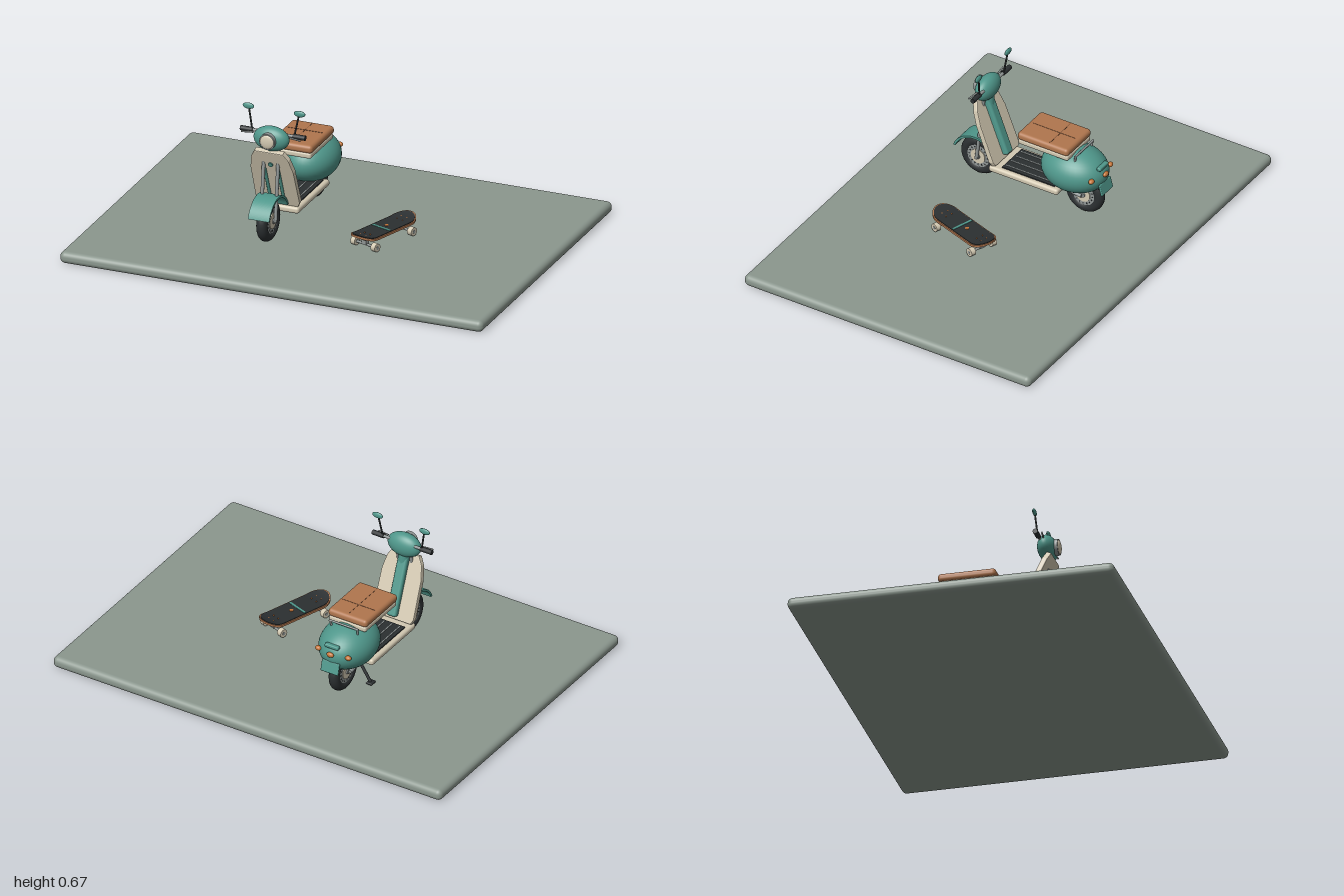
import * as THREE from 'three';
import { RoundedBoxGeometry } from 'three/addons/geometries/RoundedBoxGeometry.js';

const mat = (name, color) => new THREE.MeshStandardMaterial({ name, color });
const M = {
  stone: mat('stone', 0x8b978e), teal: mat('teal', 0x4f978b), cream: mat('cream', 0xd3c9b2),
  dark: mat('dark rubber', 0x2b2f31), grey: mat('metal', 0x8f9594), leather: mat('leather', 0xb0764e),
  seam: mat('seam', 0x83563a), amber: mat('amber', 0xc4763a),
};

function add(parent, name, geo, material, p = [0, 0, 0], r = [0, 0, 0], s = [1, 1, 1]) {
  const m = new THREE.Mesh(geo, material);
  m.name = name;
  m.position.set(...p);
  m.rotation.set(...r);
  m.scale.set(...s);
  parent.add(m);
  return m;
}
const box = (x, y, z) => new THREE.BoxGeometry(x, y, z);
const round = (x, y, z, r) => new RoundedBoxGeometry(x, y, z, 3, r);
const cyl = (r, h, n = 24) => new THREE.CylinderGeometry(r, r, h, n);
const ball = () => new THREE.SphereGeometry(1, 40, 24);
const V = (a) => new THREE.Vector3(...a);

// Straight round bar between two points
function rod(parent, name, a, b, r, material) {
  const A = V(a), d = V(b).sub(A);
  const m = add(parent, name, cyl(r, d.length(), 12), material);
  m.position.copy(A).addScaledVector(d, 0.5);
  m.quaternion.setFromUnitVectors(new THREE.Vector3(0, 1, 0), d.normalize());
  return m;
}

function wheel(parent, name, z) {
  const g = new THREE.Group();
  g.name = name;
  g.position.set(0, 0.155, z);
  parent.add(g);
  const side = [0, 0, Math.PI / 2];
  add(g, 'tyre', new THREE.TorusGeometry(0.07, 0.025, 16, 48), M.dark, [0, 0, 0], [0, Math.PI / 2, 0]);
  add(g, 'rim', cyl(0.057, 0.04, 36), M.grey, [0, 0, 0], side);
  add(g, 'hub', cyl(0.036, 0.048, 28), M.cream, [0, 0, 0], side);
  add(g, 'axleCap', cyl(0.012, 0.06, 16), M.grey, [0, 0, 0], side);
  for (let i = 0; i < 16; i++) {
    const a = (i / 16) * Math.PI * 2;
    add(g, 'rimSlot', box(0.042, 0.008, 0.005), M.dark, [0, Math.cos(a) * 0.046, Math.sin(a) * 0.046], [a, 0, 0]);
  }
}

// Curved strip over a wheel, extruded sideways
function fenderGeometry(r, t, from, to, width) {
  const s = new THREE.Shape();
  s.absarc(0, 0, r, from, to, false);
  s.absarc(0, 0, r - t, to, from, true);
  const g = new THREE.ExtrudeGeometry(s, { depth: width, bevelEnabled: false, curveSegments: 24 });
  return g.translate(0, 0, -width / 2).rotateY(-Math.PI / 2);
}

function buildScooter() {
  const g = new THREE.Group();
  g.name = 'scooter';
  g.position.x = -0.206;
  wheel(g, 'frontWheel', 0.27);
  wheel(g, 'rearWheel', -0.27);
  add(g, 'frontFender', fenderGeometry(0.117, 0.01, 0.35, 2.75, 0.1), M.teal, [0, 0.155, 0.27]);

  // Leg shield, tilted back toward the floor
  const lean = 0.374;
  const sh = new THREE.Shape([[-0.09, 0], [0.09, 0], [0.1, 0.02], [0.098, 0.2], [0.085, 0.265], [0.065, 0.3],
    [-0.065, 0.3], [-0.085, 0.265], [-0.098, 0.2], [-0.1, 0.02]].map(([x, y]) => new THREE.Vector2(x, y)));
  const shield = new THREE.Group();
  shield.name = 'frontShield';
  shield.position.set(0, 0.195, 0.145);
  shield.rotation.x = lean;
  g.add(shield);
  add(shield, 'shieldPanel', new THREE.ExtrudeGeometry(sh, {
    depth: 0.016, bevelThickness: 0.005, bevelSize: 0.004, bevelSegments: 2 }), M.cream, [0, 0, -0.008]);
  add(shield, 'innerColumn', round(0.05, 0.29, 0.035, 0.012), M.teal, [0, 0.155, -0.02]);
  add(shield, 'badge', cyl(0.011, 0.008), M.teal, [0, 0.235, 0.014], [Math.PI / 2, 0, 0]);
  for (const s of [-1, 1]) {
    add(shield, 'shieldRib', round(0.014, 0.16, 0.012, 0.005), M.teal, [s * 0.032, 0.13, 0.014]);
    rod(g, 'forkLeg', [s * 0.034, 0.155, 0.27], [s * 0.034, 0.475, 0.233], 0.008, M.grey);
  }
  rod(g, 'frontAxle', [-0.04, 0.155, 0.27], [0.04, 0.155, 0.27], 0.008, M.grey);

  // Steering head, lamp, bars and mirrors
  rod(g, 'steeringNeck', [0, 0.44, 0.228], [0, 0.51, 0.232], 0.026, M.teal);
  add(g, 'headShell', ball(), M.teal, [0, 0.528, 0.233], [0, 0, 0], [0.083, 0.057, 0.043]);
  add(g, 'lampRim', cyl(0.037, 0.03, 32), M.grey, [0, 0.53, 0.27], [Math.PI / 2, 0, 0]);
  add(g, 'lampLens', ball(), M.cream, [0, 0.53, 0.284], [0, 0, 0], [0.032, 0.032, 0.009]);
  rod(g, 'handlebar', [-0.12, 0.547, 0.216], [0.12, 0.547, 0.216], 0.007, M.grey);
  for (const s of [-1, 1]) {
    rod(g, 'grip', [s * 0.095, 0.547, 0.216], [s * 0.153, 0.547, 0.216], 0.0115, M.dark);
    rod(g, 'brakeLever', [s * 0.085, 0.545, 0.235], [s * 0.14, 0.543, 0.243], 0.004, M.grey);
    rod(g, 'mirrorStem', [s * 0.1, 0.55, 0.214], [s * 0.118, 0.645, 0.206], 0.004, M.dark);
    add(g, 'mirror', ball(), M.teal, [s * 0.121, 0.652, 0.205], [0, 0, 0], [0.027, 0.0145, 0.008]);
  }

  // Step-through floor with ribbed mat
  add(g, 'floor', round(0.2, 0.03, 0.355, 0.012), M.cream, [0, 0.173, -0.008]);
  add(g, 'floorMat', box(0.16, 0.006, 0.27), M.dark, [0, 0.19, -0.025]);
  for (let i = -1.5; i <= 1.5; i++) add(g, 'matRib', box(0.005, 0.004, 0.25), M.grey, [i * 0.04, 0.193, -0.025]);

  // Rear body and seat
  add(g, 'rearBody', ball(), M.teal, [0, 0.271, -0.216], [0, 0, 0], [0.126, 0.107, 0.158]);
  add(g, 'seatBase', round(0.19, 0.028, 0.257, 0.01), M.cream, [0, 0.373, -0.108]);
  add(g, 'seatCushion', round(0.2, 0.038, 0.262, 0.016), M.leather, [0, 0.402, -0.108]);
  add(g, 'seatSeamAcross', box(0.17, 0.002, 0.003), M.seam, [0, 0.421, -0.14]);
  add(g, 'seatSeamAlong', box(0.002, 0.002, 0.22), M.seam, [0, 0.421, -0.108]);
  rod(g, 'grabRail', [-0.075, 0.383, -0.262], [0.075, 0.383, -0.262], 0.005, M.grey);
  for (const s of [-1, 1]) {
    rod(g, 'railPost', [s * 0.07, 0.383, -0.262], [s * 0.065, 0.345, -0.255], 0.005, M.grey);
    rod(g, 'swingArm', [s * 0.036, 0.17, -0.15], [s * 0.036, 0.155, -0.27], 0.009, M.grey);
    add(g, 'turnSignal', ball(), M.amber, [s * 0.077, 0.285, -0.348], [0, 0, 0], [0.015, 0.011, 0.012]);
  }

  // Tail
  add(g, 'tailLamp', ball(), M.amber, [0, 0.29, -0.374], [0, 0, 0], [0.018, 0.012, 0.01]);
  add(g, 'tailTrim', round(0.07, 0.018, 0.022, 0.006), M.teal, [0, 0.325, -0.357]);
  add(g, 'rearPlate', round(0.09, 0.055, 0.01, 0.004), M.teal, [0, 0.225, -0.373], [0.25, 0, 0]);
  add(g, 'plateBracket', box(0.04, 0.03, 0.04), M.dark, [0, 0.225, -0.352]);

  // Side stand
  rod(g, 'sideStand', [-0.015, 0.165, -0.172], [-0.082, 0.068, -0.175], 0.007, M.dark);
  add(g, 'standFoot', round(0.03, 0.01, 0.036, 0.004), M.dark, [-0.084, 0.065, -0.175]);
  return g;
}

// Long box narrowed to rounded ends, with both tips bent upward
function deckGeometry(length, width, thick) {
  const geo = new THREE.BoxGeometry(width, thick, length, 1, 1, 60);
  const p = geo.attributes.position, r = width / 2, straight = length / 2 - r;
  for (let i = 0; i < p.count; i++) {
    const t = p.getZ(i) / (length / 2);
    const z = Math.sin(t * Math.PI / 2) * length / 2;
    const over = Math.max(0, Math.abs(z) - straight);
    const half = Math.sqrt(Math.max(0, r * r - over * over));
    const kick = Math.max(0, Math.abs(z) - 0.1) / 0.08;
    p.setXYZ(i, Math.sign(p.getX(i)) * half, p.getY(i) + 0.018 * kick * kick, z);
  }
  geo.computeVertexNormals();
  return geo;
}

function buildSkateboard() {
  const g = new THREE.Group();
  g.name = 'skateboard';
  g.position.set(0.253, 0, 0.066);
  g.rotation.y = -0.324;
  add(g, 'deck', deckGeometry(0.365, 0.125, 0.01), M.leather, [0, 0.113, 0]);
  add(g, 'gripTape', deckGeometry(0.353, 0.114, 0.004), M.dark, [0, 0.119, 0]);
  add(g, 'deckStripe', box(0.104, 0.002, 0.011), M.teal, [0, 0.1215, 0.014]);
  add(g, 'deckDot', cyl(0.009, 0.002, 20), M.amber, [0, 0.1215, -0.02]);
  for (const z of [-0.12, 0.12]) {
    add(g, 'truckPlate', box(0.04, 0.008, 0.045), M.grey, [0, 0.108, z]);
    add(g, 'truckBody', box(0.026, 0.03, 0.02), M.grey, [0, 0.092, z]);
    rod(g, 'axle', [-0.07, 0.078, z], [0.07, 0.078, z], 0.006, M.grey);
    for (const s of [-1, 1]) {
      add(g, 'wheel', cyl(0.019, 0.024), M.cream, [s * 0.059, 0.078, z], [0, 0, Math.PI / 2]);
      add(g, 'wheelCap', cyl(0.008, 0.027, 16), M.grey, [s * 0.059, 0.078, z], [0, 0, Math.PI / 2]);
      for (const d of [-0.014, 0.014]) add(g, 'bolt', cyl(0.003, 0.004, 8), M.amber, [s * 0.016, 0.123, z + d]);
    }
  }
  return g;
}

export function createModel() {
  const model = new THREE.Group();
  model.name = 'scooterAndSkateboard';
  add(model, 'groundSlab', new RoundedBoxGeometry(2, 0.054, 1.47, 5, 0.024), M.stone, [0, 0.027, 0]);
  model.add(buildScooter(), buildSkateboard());
  return model;
}
